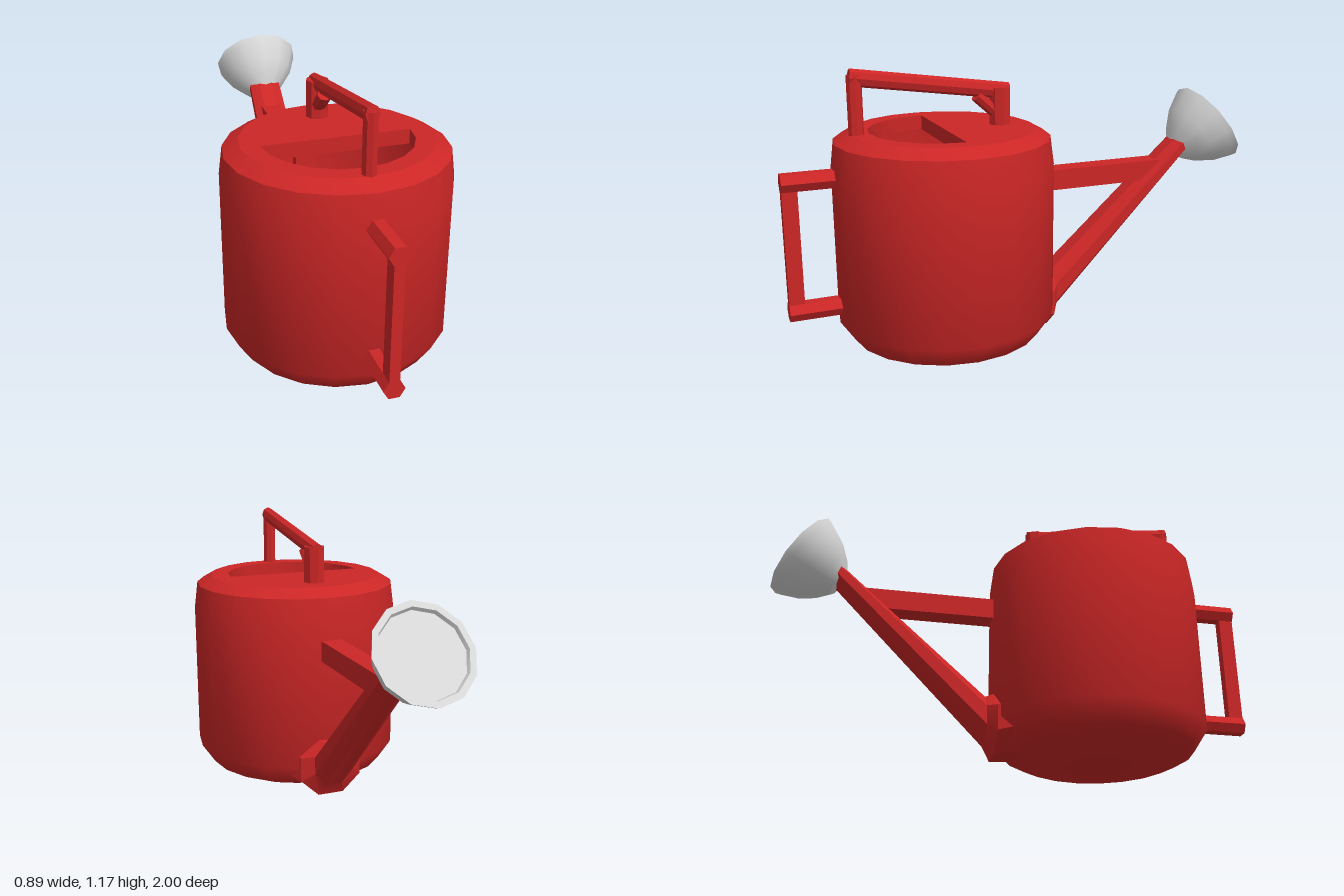
import * as THREE from 'three';
import { toCreasedNormals } from 'three/addons/utils/BufferGeometryUtils.js';

export function createModel() {
  const model = new THREE.Group();
  model.name = 'wateringCan';
  const red = new THREE.MeshStandardMaterial({ color: 0xcc2626, side: THREE.DoubleSide });
  red.name = 'red enamel';
  const silver = new THREE.MeshStandardMaterial({ color: 0xd8d8d8, side: THREE.DoubleSide });
  silver.name = 'silver metal';
  const bodyZ = 0.355;

  function add(parent, name, geometry, material = red, crease = 0.55) {
    const mesh = new THREE.Mesh(toCreasedNormals(geometry, crease), material);
    mesh.name = name;
    parent.add(mesh);
    return mesh;
  }
  function group(name) {
    const g = new THREE.Group();
    g.name = name;
    model.add(g);
    return g;
  }
  const profile = (pts) => pts.map(([r, y]) => new THREE.Vector2(r, y));

  // Straight bar between two [y, z] points in the middle plane; rx and rt are half sizes
  function bar(parent, name, a, b, rx, rt, sides = 8) {
    const from = new THREE.Vector3(0, a[0], a[1]);
    const to = new THREE.Vector3(0, b[0], b[1]);
    const dir = to.clone().sub(from);
    const geo = new THREE.CylinderGeometry(1, 1, dir.length(), sides);
    geo.rotateY(Math.PI / 2).scale(rx, 1, rt);
    const mesh = add(parent, name, geo);
    mesh.position.copy(from).add(to).multiplyScalar(0.5);
    mesh.quaternion.setFromUnitVectors(new THREE.Vector3(0, 1, 0), dir.normalize());
  }

  // Octagonal loft through sections [z, bottom, top, half width], running towards -z
  function loft(sections, sides = 8) {
    const pos = [], index = [];
    for (const [z, y0, y1, w] of sections) {
      for (let i = 0; i < sides; i++) {
        const a = ((i + 0.5) / sides) * Math.PI * 2;
        const k = 1 / Math.cos(Math.PI / sides);
        pos.push(Math.cos(a) * w * k, (y0 + y1) / 2 + Math.sin(a) * k * (y1 - y0) / 2, z);
      }
    }
    for (let s = 0; s < sections.length - 1; s++) {
      for (let i = 0; i < sides; i++) {
        const a = s * sides + i, b = s * sides + (i + 1) % sides;
        index.push(a, b, b + sides, a, b + sides, a + sides);
      }
    }
    const geo = new THREE.BufferGeometry();
    geo.setAttribute('position', new THREE.Float32BufferAttribute(pos, 3));
    geo.setIndex(index);
    return geo;
  }

  // Hollow body with a chamfered foot and shoulder
  const body = group('body');
  body.position.z = bodyZ;
  add(body, 'bodyShell', new THREE.LatheGeometry(profile([
    [0, 0.005], [0.32, 0.042], [0.39, 0.075], [0.447, 0.16],
    [0.447, 0.77], [0.432, 0.885], [0.37, 0.92],
  ]), 20), red, 0.7);

  // Lid with a half-round filling hole
  const lidShape = new THREE.Shape();
  for (let i = 0; i < 20; i++) {
    const a = (i / 20) * Math.PI * 2;
    lidShape[i ? 'lineTo' : 'moveTo'](Math.cos(a) * 0.37, Math.sin(a) * 0.37);
  }
  lidShape.closePath();
  const hole = new THREE.Path();
  for (let i = 0; i <= 10; i++) {
    const a = Math.PI * (1 + i / 10);
    hole[i ? 'lineTo' : 'moveTo'](Math.cos(a) * 0.295, Math.sin(a) * 0.295);
  }
  hole.closePath();
  lidShape.holes.push(hole);
  const lidGeo = new THREE.ExtrudeGeometry(lidShape, { depth: 0.06, bevelEnabled: false });
  lidGeo.rotateX(-Math.PI / 2);
  add(body, 'lid', lidGeo).position.y = 0.86;

  // Carrying handle over the top
  const topHandle = group('topHandle');
  bar(topHandle, 'frontPost', [0.88, 0.7], [1.15, 0.7], 0.028, 0.03);
  bar(topHandle, 'rearPost', [0.88, 0.11], [1.07, 0.11], 0.045, 0.045);
  bar(topHandle, 'grip', [1.141, 0.72], [1.052, 0.075], 0.027, 0.034);
  bar(topHandle, 'gripGusset', [1.04, 0.21], [0.96, 0.12], 0.03, 0.025);

  // Pouring handle at the front
  const frontHandle = group('frontHandle');
  for (const y of [0.235, 0.757]) {
    bar(frontHandle, 'handleArm', [y, 0.75], [y, 1], 0.041, 0.039, 6);
  }
  const grip = add(frontHandle, 'handleGrip', new THREE.BoxGeometry(0.04, 0.54, 0.06));
  grip.position.set(0, 0.496, 0.969);

  // Spout with a flared root, and its brace
  add(model, 'spout', loft([
    [0.02, 0.045, 0.3, 0.18],
    [-0.08, 0.032, 0.283, 0.135],
    [-0.115, 0.088, 0.275, 0.085],
    [-0.75, 0.738, 0.835, 0.07],
  ]), red, 0.4);
  const brace = add(model, 'spoutBrace', new THREE.BoxGeometry(0.09, 0.086, 0.58));
  brace.position.set(0, 0.668, -0.33);

  // Sprinkler rose, a bowl with a rim and a sunken face plate
  const rose = add(model, 'sprinklerRose', new THREE.LatheGeometry(profile([
    [0, -0.2], [0.055, -0.197], [0.105, -0.155], [0.15, -0.098],
    [0.183, -0.025], [0.192, 0], [0.168, 0], [0.162, -0.015], [0, -0.015],
  ]), 12), silver, 0.65);
  rose.position.set(0, 0.855, -0.89);
  rose.quaternion.setFromUnitVectors(
    new THREE.Vector3(0, 1, 0), new THREE.Vector3(0, 0.58, -0.815).normalize());

  return model;
}
